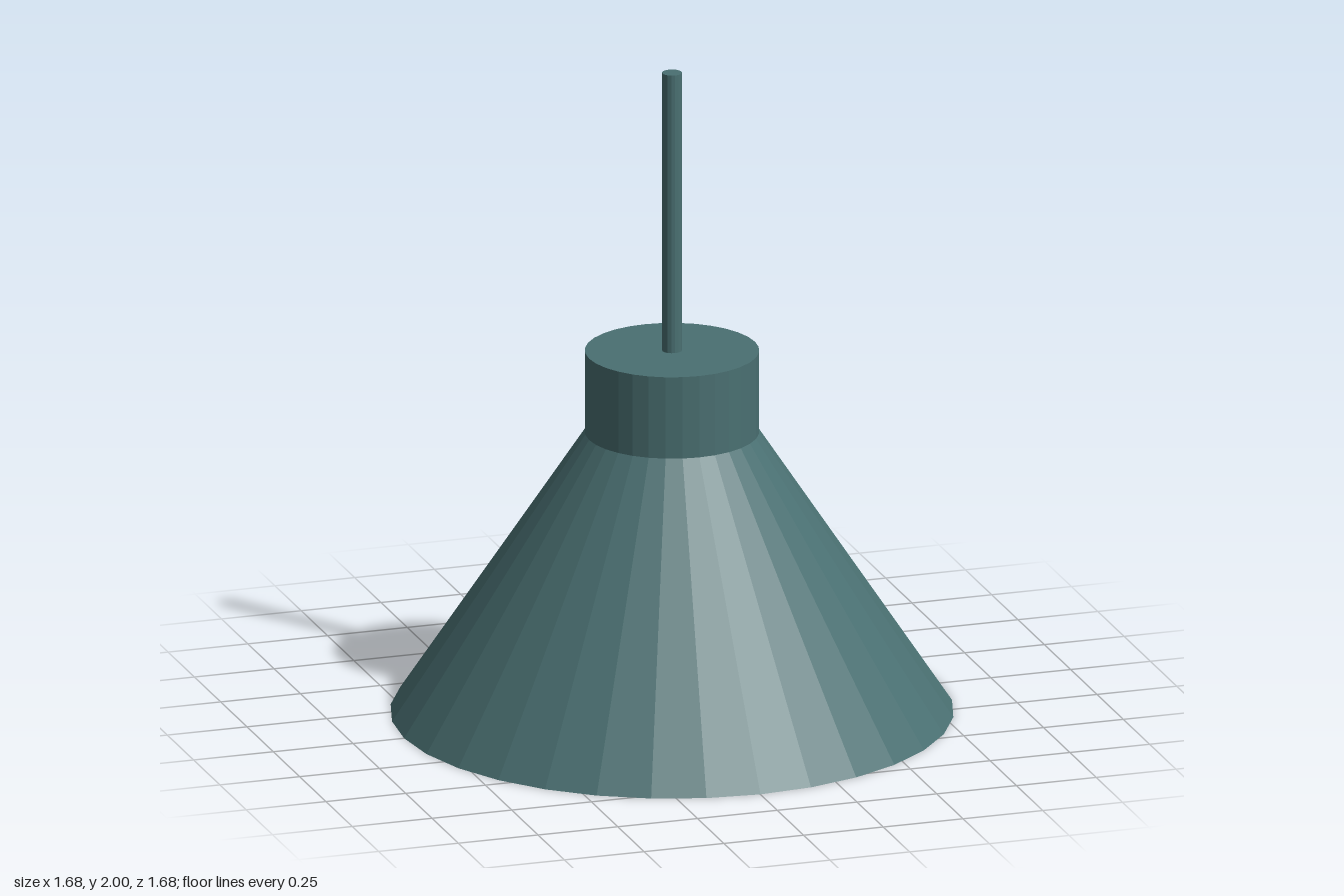
import * as THREE from 'three';

const SIDES = 32;

export function createModel() {
  const lamp = new THREE.Group();
  lamp.name = 'pendantLamp';

  const enamel = new THREE.MeshStandardMaterial({ color: 0x4a7072, flatShading: true });
  const glass = new THREE.MeshStandardMaterial({ color: 0xe6ebaa, flatShading: true });

  const add = (name, geometry, material, y = 0) => {
    const mesh = new THREE.Mesh(geometry, material);
    mesh.name = name;
    mesh.position.y = y;
    lamp.add(mesh);
  };
  // Upright cylinder between two heights
  const post = (radius, bottom, top, sides) =>
    new THREE.CylinderGeometry(radius, radius, top - bottom, sides)
      .translate(0, (top + bottom) / 2, 0);

  // Hollow conical shade: rim, outer wall, then inner ceiling and inner wall
  const profile = [
    [0.78, 0], [0.84, 0], [0.26, 0.875],
    [0.23, 0.83], [0.78, 0],
  ].map(([r, y]) => new THREE.Vector2(r, y));
  add('shade', new THREE.LatheGeometry(profile, SIDES), enamel);
  add('shadeCeiling', new THREE.CircleGeometry(0.232, SIDES).rotateX(Math.PI / 2), enamel, 0.832);

  // Collar on top of the shade and the hanging rod
  add('collar', post(0.26, 0.87, 1.13, SIDES), enamel);
  add('rod', post(0.03, 1.12, 2, 16), enamel);

  // Bulb on a slim holder inside the shade
  add('bulbHolder', post(0.06, 0.55, 0.84, 16), enamel);
  add('bulb', new THREE.SphereGeometry(0.175, 24, 16), glass, 0.425);

  return lamp;
}
